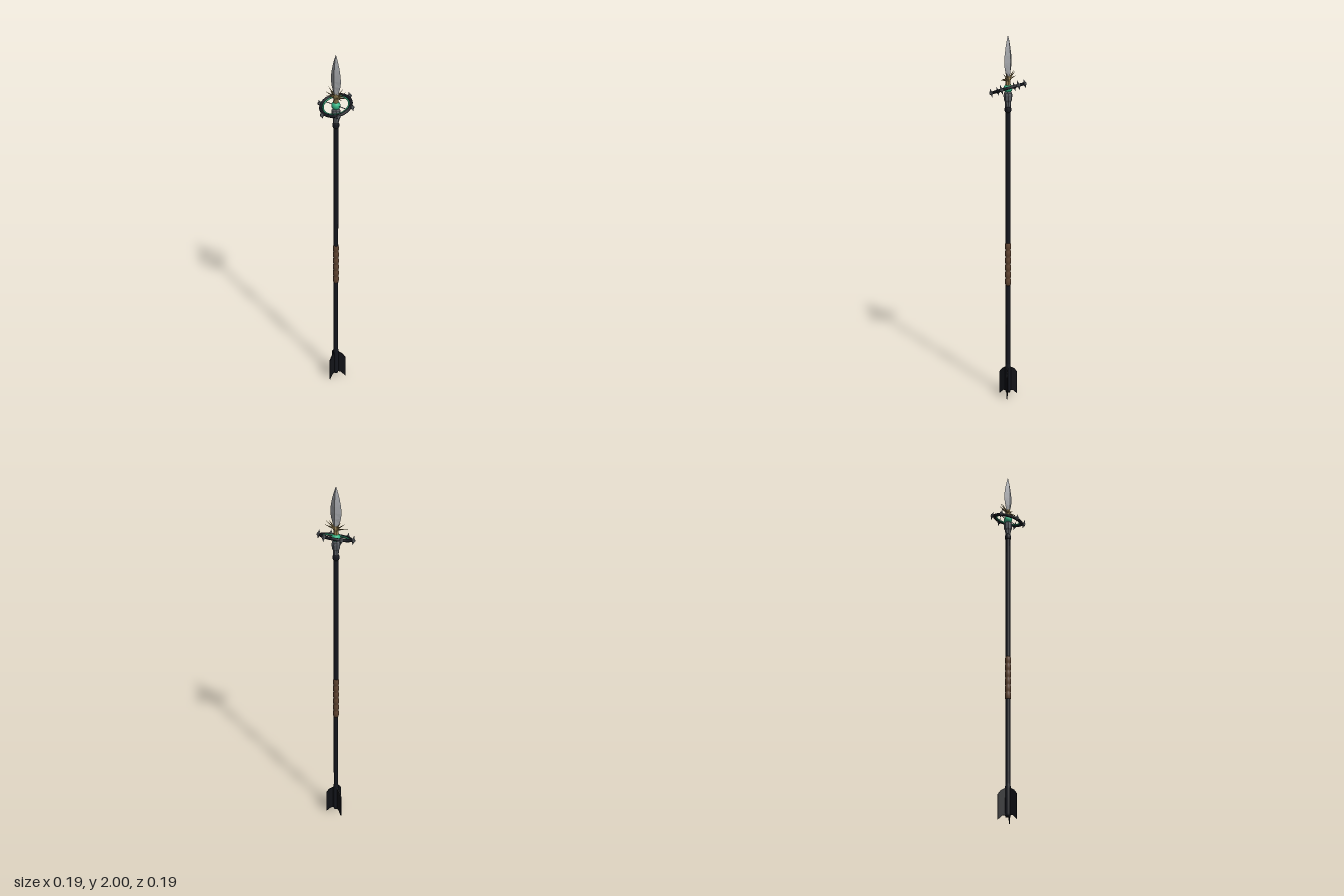
import * as THREE from 'three';

const mat = (color, flatShading = false, side = THREE.FrontSide) =>
  new THREE.MeshStandardMaterial({ color, flatShading, side });

const black = mat(0x14161d);
const fletchBlack = mat(0x121318, true);
const steel = mat(0xa4a6aa, true);
const gunmetal = mat(0x5c6066, true);
const green = mat(0x35b585);
const gold = mat(0x8f7a4c, true);
const leather = mat(0x5e4330);

function add(parent, name, geometry, material, x = 0, y = 0, z = 0) {
  const mesh = new THREE.Mesh(geometry, material);
  mesh.name = name;
  mesh.position.set(x, y, z);
  parent.add(mesh);
  return mesh;
}

// Turned part from [radius, height] pairs
const turned = (points, sides) =>
  new THREE.LatheGeometry(points.map(([r, y]) => new THREE.Vector2(r, y)), sides);

// Blade with a lozenge cross-section, lofted through [height, halfWidth, halfDepth] rows
function bladeGeometry(rows) {
  const pos = [];
  const corners = ([y, w, d]) => [[w, y, 0], [0, y, d], [-w, y, 0], [0, y, -d]];
  for (let i = 0; i < rows.length - 1; i++) {
    const a = corners(rows[i]), b = corners(rows[i + 1]);
    for (let k = 0; k < 4; k++) {
      const n = (k + 1) % 4;
      pos.push(...a[k], ...b[n], ...a[n], ...a[k], ...b[k], ...b[n]);
    }
  }
  const g = new THREE.BufferGeometry();
  g.setAttribute('position', new THREE.Float32BufferAttribute(pos, 3));
  g.computeVertexNormals();
  return g;
}

export function createModel() {
  const model = new THREE.Group();
  model.name = 'spear';

  // Shaft and collars
  add(model, 'shaft', new THREE.CylinderGeometry(0.0125, 0.0125, 1.62, 20), black, 0, 0.83, 0);
  add(model, 'upperCollar', turned([
    [0, 1.6], [0.014, 1.6], [0.017, 1.606], [0.017, 1.622], [0.014, 1.63], [0, 1.63],
  ], 20), black);
  add(model, 'lowerCollar', turned([
    [0, 0.02], [0.012, 0.02], [0.016, 0.035], [0.016, 0.165], [0.0125, 0.19],
  ], 20), black);

  // Wrapped leather grip with soft ridges
  const wraps = 6, steps = 8, y0 = 0.65, y1 = 0.89;
  const profile = [[0, y0]];
  for (let i = 0; i <= wraps * steps; i++) {
    const ridge = Math.abs(Math.sin((i / steps) * Math.PI));
    profile.push([0.0138 + 0.0027 * ridge, y0 + (y1 - y0) * i / (wraps * steps)]);
  }
  profile.push([0, y1]);
  add(model, 'grip', turned(profile, 20), leather);

  // Three swept fins at the foot
  const finShape = new THREE.Shape();
  [[0, 0.03], [0.03, 0.025], [0.055, 0], [0.055, 0.132], [0.038, 0.155], [0.01, 0.172], [0, 0.172]]
    .forEach(([x, y], i) => (i ? finShape.lineTo(x, y) : finShape.moveTo(x, y)));
  const finGeo = new THREE.ExtrudeGeometry(finShape, { depth: 0.005, bevelEnabled: false });
  finGeo.translate(0, 0, -0.0025);
  for (let i = 0; i < 3; i++) {
    const fin = add(model, 'fin', finGeo, fletchBlack);
    fin.rotation.y = -Math.PI / 2 + (i * Math.PI * 2) / 3;
  }

  // Socket holding the orb
  add(model, 'socket', turned([
    [0, 1.625], [0.014, 1.625], [0.016, 1.655], [0.021, 1.665], [0.023, 1.69],
    [0.021, 1.702], [0.015, 1.708], [0, 1.708],
  ], 8), gunmetal);
  add(model, 'orb', new THREE.SphereGeometry(0.023, 24, 16), green, 0, 1.725, 0);
  add(model, 'bladeSeat', turned([
    [0, 1.74], [0.015, 1.742], [0.012, 1.76], [0.016, 1.775], [0.008, 1.795], [0, 1.8],
  ], 8), gold);

  // Tilted ring with a green inner band, cross rod and six spindles
  const ring = new THREE.Group();
  ring.name = 'tiltedRing';
  ring.position.y = 1.725;
  ring.rotation.x = 0.34;
  model.add(ring);
  add(ring, 'outerRing', new THREE.TorusGeometry(0.078, 0.008, 10, 64), black).rotation.x = Math.PI / 2;
  add(ring, 'innerRing', new THREE.TorusGeometry(0.066, 0.004, 8, 64), green).rotation.x = Math.PI / 2;
  add(ring, 'crossRod', new THREE.CylinderGeometry(0.002, 0.002, 0.14, 8), gunmetal).rotation.z = Math.PI / 2;
  const spindle = turned([
    [0, -0.026], [0.004, -0.012], [0.0105, -0.004], [0.0105, 0.004], [0.004, 0.012], [0, 0.026],
  ], 6);
  for (let i = 0; i < 6; i++) {
    const a = THREE.MathUtils.degToRad(-15 + i * 60);
    add(ring, 'spindle', spindle, gunmetal, 0.09 * Math.cos(a), 0, 0.09 * Math.sin(a)).rotation.y = -a;
  }

  // Golden spikes fanning out to both sides
  const up = new THREE.Vector3(0, 1, 0);
  const base = new THREE.Vector3(0, 1.768, 0);
  const tips = [[0.068, 1.782, 0], [0.052, 1.772, 0.016], [0.052, 1.788, -0.016],
    [0.058, 1.812, -0.009], [0.035, 1.82, -0.014]];
  for (const side of [-1, 1]) {
    for (const [x, y, z] of tips) {
      const dir = new THREE.Vector3(side * x, y, z).sub(base);
      const geo = new THREE.ConeGeometry(0.0055, dir.length(), 6);
      const spike = add(model, 'spike', geo, gold);
      spike.position.copy(base).addScaledVector(dir, 0.5);
      spike.quaternion.setFromUnitVectors(up, dir.normalize());
    }
  }

  // Leaf-shaped blade
  add(model, 'blade', bladeGeometry([
    [1.765, 0, 0], [1.772, 0.011, 0.009], [1.8, 0.019, 0.014], [1.83, 0.028, 0.016],
    [1.86, 0.032, 0.016], [1.895, 0.029, 0.015], [1.935, 0.021, 0.012], [1.97, 0.011, 0.007], [2, 0, 0],
  ]), steel);

  return model;
}
